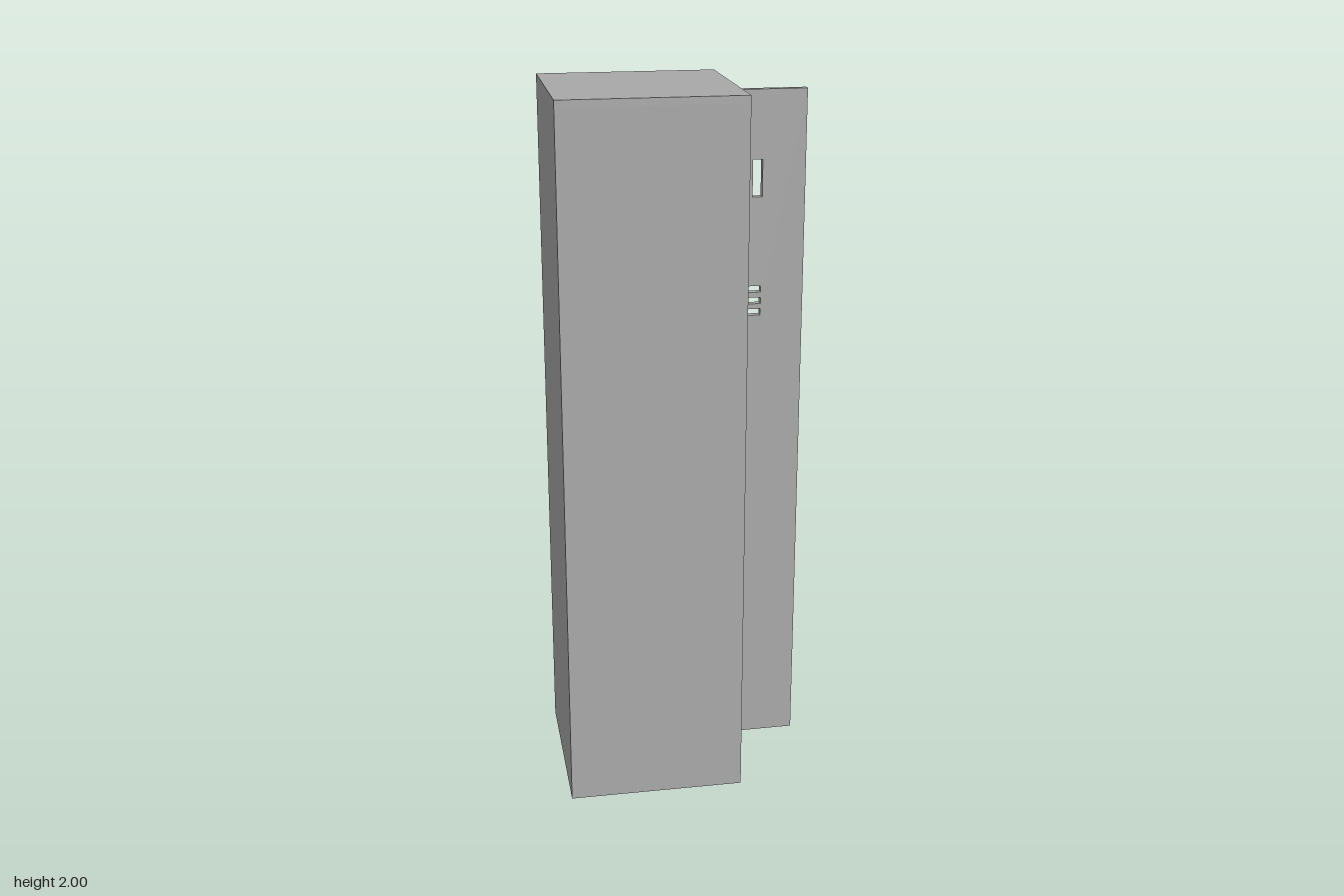
import * as THREE from 'three';

export function createModel() {
  const root = new THREE.Group();
  root.name = 'locker';
  const metal = new THREE.MeshStandardMaterial({ name: 'grey metal', color: 0xa8a8a8 });

  const add = (parent, name, geometry, x, y, z) => {
    const mesh = new THREE.Mesh(geometry, metal);
    mesh.name = name;
    mesh.position.set(x, y, z);
    parent.add(mesh);
    return mesh;
  };

  // Cabinet: a box of sheet panels, open at -z
  const W = 0.498, D = 0.5, H = 2, T = 0.02;
  const cabinet = new THREE.Group();
  cabinet.name = 'cabinet';
  cabinet.position.set(-0.104, 0, 0.004);
  root.add(cabinet);
  for (const s of [-1, 1]) {
    add(cabinet, s < 0 ? 'rightWall' : 'leftWall', new THREE.BoxGeometry(T, H, D), s * (W - T) / 2, H / 2, 0);
  }
  const innerW = W - 2 * T;
  add(cabinet, 'floor', new THREE.BoxGeometry(innerW, T, D), 0, T / 2, 0);
  add(cabinet, 'roof', new THREE.BoxGeometry(innerW, T, D), 0, H - T / 2, 0);
  add(cabinet, 'frontPanel', new THREE.BoxGeometry(innerW, H - 2 * T, T), 0, H / 2, (D - T) / 2);

  // Shelves, set back a little from the opening
  const shelfD = D - T - 0.025;
  for (const top of [1.66, 1.3, 0.92, 0.47]) {
    add(cabinet, 'shelf', new THREE.BoxGeometry(innerW, T, shelfD), 0, top - T / 2, D / 2 - T - shelfD / 2);
  }

  // Hinges: two knuckles joined by a slim pin
  for (const y of [1.783, 0.183]) {
    const hinge = new THREE.Group();
    hinge.name = 'hinge';
    hinge.position.set(-0.332, y, -0.243);
    root.add(hinge);
    for (const s of [-1, 1]) {
      add(hinge, 'knuckle', new THREE.CylinderGeometry(0.011, 0.011, 0.034, 16), 0, s * 0.056, 0);
    }
    add(hinge, 'pin', new THREE.CylinderGeometry(0.006, 0.006, 0.08, 12), 0, 0, 0);
  }

  // Door: a slab passing through the side wall, with slots cut through it
  const rect = (path, x0, y0, x1, y1) =>
    path.moveTo(x0, y0).lineTo(x1, y0).lineTo(x1, y1).lineTo(x0, y1).closePath();
  const cx = 0.124, doorW = 0.456, depth = 0.021;
  const outline = rect(new THREE.Shape(), -doorW / 2, 0.03, doorW / 2, 1.98);
  const cut = (x0, y0, x1, y1) => outline.holes.push(rect(new THREE.Path(), x0 - cx, y0, x1 - cx, y1));
  cut(0.205, 1.69, 0.232, 1.792);
  cut(0.026, 1.69, 0.053, 1.792);
  for (const y of [1.431, 1.398, 1.365]) cut(0.026, y - 0.009, 0.232, y + 0.009);
  const doorGeometry = new THREE.ExtrudeGeometry(outline, { depth, bevelEnabled: false });
  doorGeometry.translate(0, 0, -depth / 2);
  add(root, 'door', doorGeometry, cx, 0, 0.002).rotation.y = 0.008;

  return root;
}
